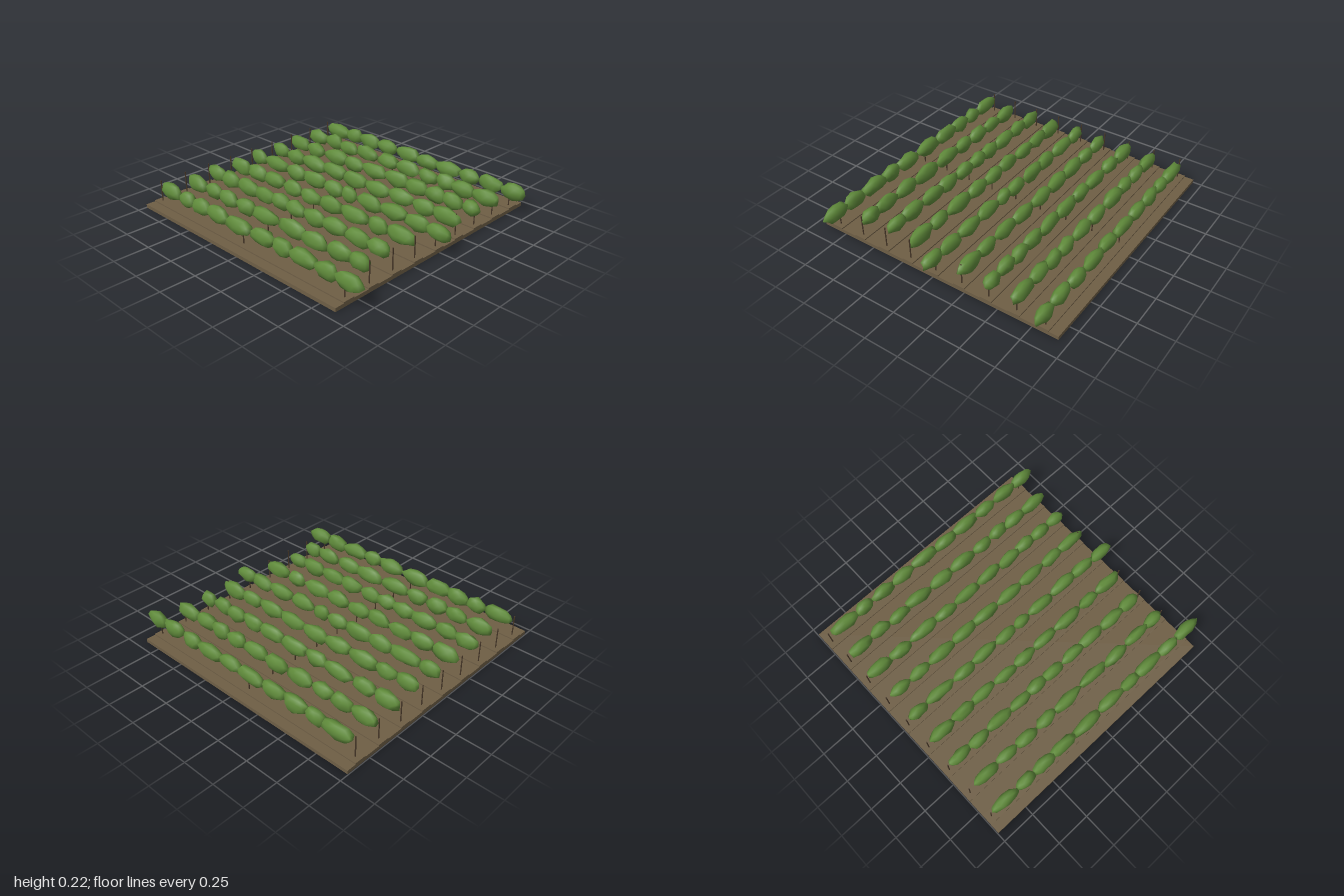
import * as THREE from 'three';
import { mergeVertices } from 'three/addons/utils/BufferGeometryUtils.js';

const soil = new THREE.MeshStandardMaterial({ name: 'soil brown', color: 0x6e5e45 });
const wood = new THREE.MeshStandardMaterial({ name: 'post wood', color: 0x4a3a2a });
const leaf = new THREE.MeshStandardMaterial({ name: 'leaf green', color: 0x5f8a3a });

// Where each row's bushes begin and end along z
const rows = [
  [-0.95, -0.73, -0.58, -0.41, -0.21, 0.02, 0.23, 0.39, 0.61, 0.78, 0.99],
  [-0.92, -0.71, -0.54, -0.36, -0.19, 0.05, 0.28, 0.49, 0.69, 0.84],
  [-0.95, -0.77, -0.61, -0.40, -0.24, -0.09, 0.07, 0.26, 0.45, 0.64, 0.81],
  [-0.94, -0.73, -0.55, -0.36, -0.18, 0.01, 0.20, 0.45, 0.61, 0.83],
  [-0.94, -0.78, -0.55, -0.37, -0.16, 0.02, 0.15, 0.37, 0.59, 0.77, 0.95],
  [-0.93, -0.76, -0.59, -0.36, -0.17, 0.04, 0.27, 0.49, 0.66, 0.88],
  [-0.95, -0.76, -0.58, -0.35, -0.16, 0.05, 0.26, 0.43, 0.58, 0.73, 0.88],
  [-0.94, -0.75, -0.59, -0.42, -0.21, -0.02, 0.20, 0.35, 0.50, 0.67, 0.88],
  [-0.94, -0.71, -0.57, -0.39, -0.20, 0.01, 0.20, 0.40, 0.58, 0.78, 0.96],
];

let seed = 7;
function random() {
  seed = (seed * 16807) % 2147483647;
  return seed / 2147483647;
}

// Lumpy low-poly bush with smooth normals, stretched to fill z0..z1
function bushGeometry(z0, z1) {
  let g = new THREE.IcosahedronGeometry(1, 1);
  g.deleteAttribute('normal');
  g.deleteAttribute('uv');
  g = mergeVertices(g, 1e-3);
  const p = g.attributes.position;
  for (let i = 0; i < p.count; i++) {
    const s = 0.86 + 0.28 * random();
    p.setXYZ(i, p.getX(i) * s, p.getY(i) * s, p.getZ(i) * s);
  }
  g.computeBoundingBox();
  const { min, max } = g.boundingBox;
  const k = (z1 - z0) / (max.z - min.z);
  const w = 0.039 + 0.004 * random();
  const h = 0.057 + 0.005 * random();
  for (let i = 0; i < p.count; i++) {
    p.setXYZ(i, p.getX(i) * w, p.getY(i) * h, z0 + (p.getZ(i) - min.z) * k);
  }
  g.computeVertexNormals();
  g.computeBoundingBox();
  return g;
}

function box(name, w, h, d, x, y, z, material) {
  const m = new THREE.Mesh(new THREE.BoxGeometry(w, h, d), material);
  m.name = name;
  m.position.set(x, y, z);
  return m;
}

export function createModel() {
  const model = new THREE.Group();
  model.name = 'vineyard';

  // Field slab
  model.add(box('field', 1.87, 0.026, 1.87, 0, 0.013, -0.065, soil));

  rows.forEach((ends, r) => {
    const row = new THREE.Group();
    row.name = 'vineRow';
    row.position.x = (r - 4) * 0.206;
    model.add(row);

    // Raised earth under the vines
    row.add(box('ridge', 0.085, 0.008, 1.87, 0, 0.03, -0.065, soil));

    // Posts at both ends and the middle
    for (const z of [-0.96, -0.062, 0.835]) {
      const post = new THREE.Mesh(new THREE.CylinderGeometry(0.0045, 0.0045, 0.16, 6), wood);
      post.name = 'post';
      post.position.set(0, 0.107, z);
      row.add(post);
    }

    // Chain of bushes, each overlapping its neighbour a little
    for (let i = 0; i + 1 < ends.length; i++) {
      const last = i + 2 === ends.length;
      const z0 = ends[i] - (i ? 0.008 : 0);
      const z1 = ends[i + 1] + (last ? 0 : 0.008);
      const bush = new THREE.Mesh(bushGeometry(z0, z1), leaf);
      bush.name = 'bush';
      bush.position.set((random() - 0.5) * 0.008, 0.145 + (random() - 0.5) * 0.008, 0);
      row.add(bush);
    }
  });

  // Settle the front tip so that the length is exactly two units
  model.updateMatrixWorld(true);
  const b = new THREE.Box3().setFromObject(model, true);
  model.children.forEach((c) => { c.position.z -= (b.min.z + b.max.z) / 2; });
  return model;
}
